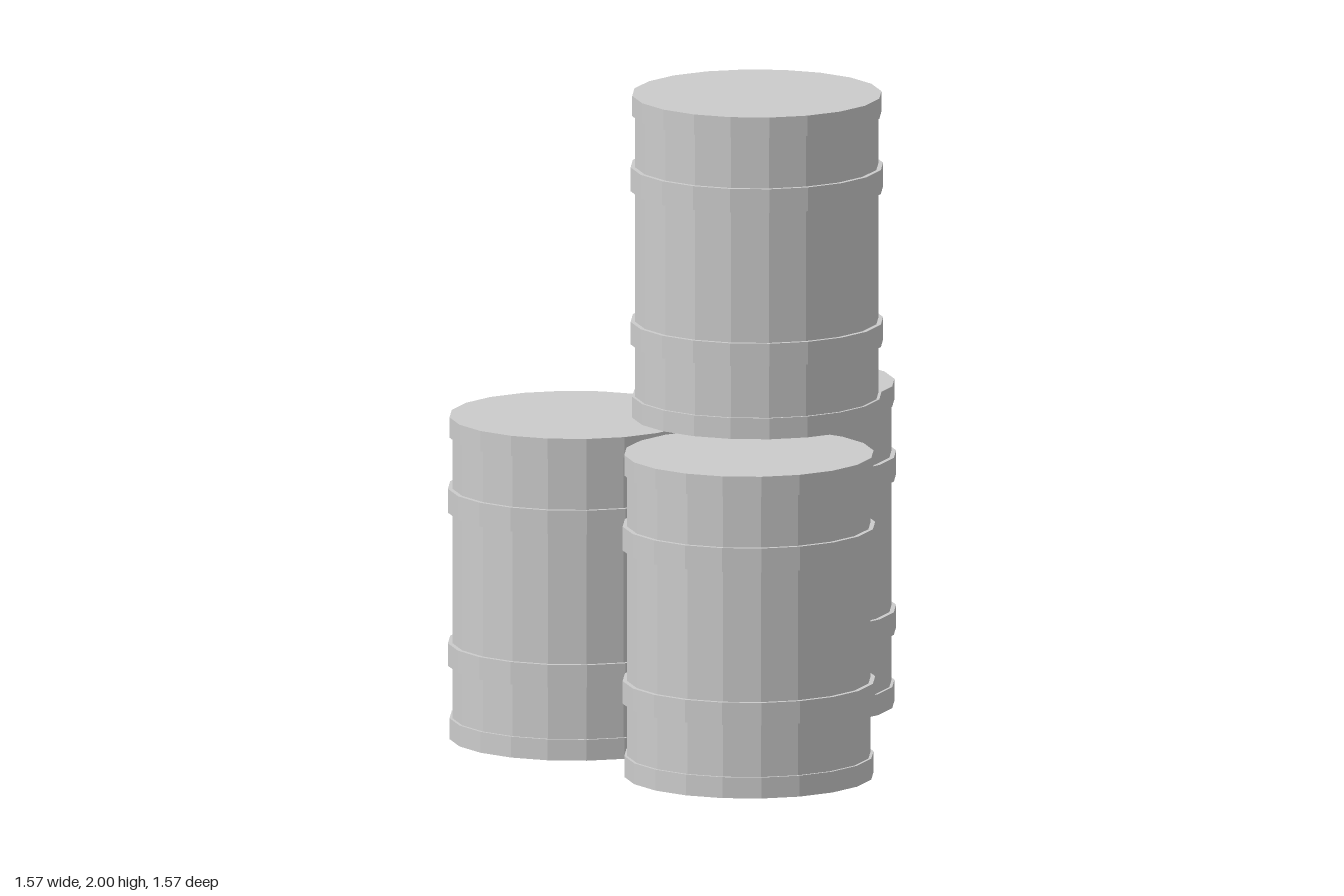
import * as THREE from 'three';

const SIDES = 20;
const BODY = 0.373, RIM = 0.382, HOOP = 0.387;

// Closed drum outline, bottom to top: [radius, height]
const PROFILE = [
  [0, 0], [RIM, 0], [RIM, 0.065], [BODY, 0.065],           // base and bottom rim
  [BODY, 0.228], [HOOP, 0.228], [HOOP, 0.298], [BODY, 0.298], // lower hoop
  [BODY, 0.704], [HOOP, 0.704], [HOOP, 0.778], [BODY, 0.778], // upper hoop
  [BODY, 0.937], [RIM, 0.937], [RIM, 1], [0, 1],           // top rim and lid
].map(([r, y]) => new THREE.Vector2(r, y));

// Three drums on the ground, one stacked across them
const DRUMS = [
  ['backRightBarrel', -0.4, 0, -0.4],
  ['backLeftBarrel', 0.4, 0, -0.4],
  ['frontRightBarrel', -0.4, 0, 0.4],
  ['topBarrel', 0.012, 1, -0.025],
];

export function createModel() {
  const group = new THREE.Group();
  group.name = 'barrelStack';
  const geometry = new THREE.LatheGeometry(PROFILE, SIDES);
  const material = new THREE.MeshStandardMaterial({ color: 0xcccccc, flatShading: true });
  for (const [name, x, y, z] of DRUMS) {
    const barrel = new THREE.Mesh(geometry, material);
    barrel.name = name;
    barrel.position.set(x, y, z);
    group.add(barrel);
  }
  return group;
}
